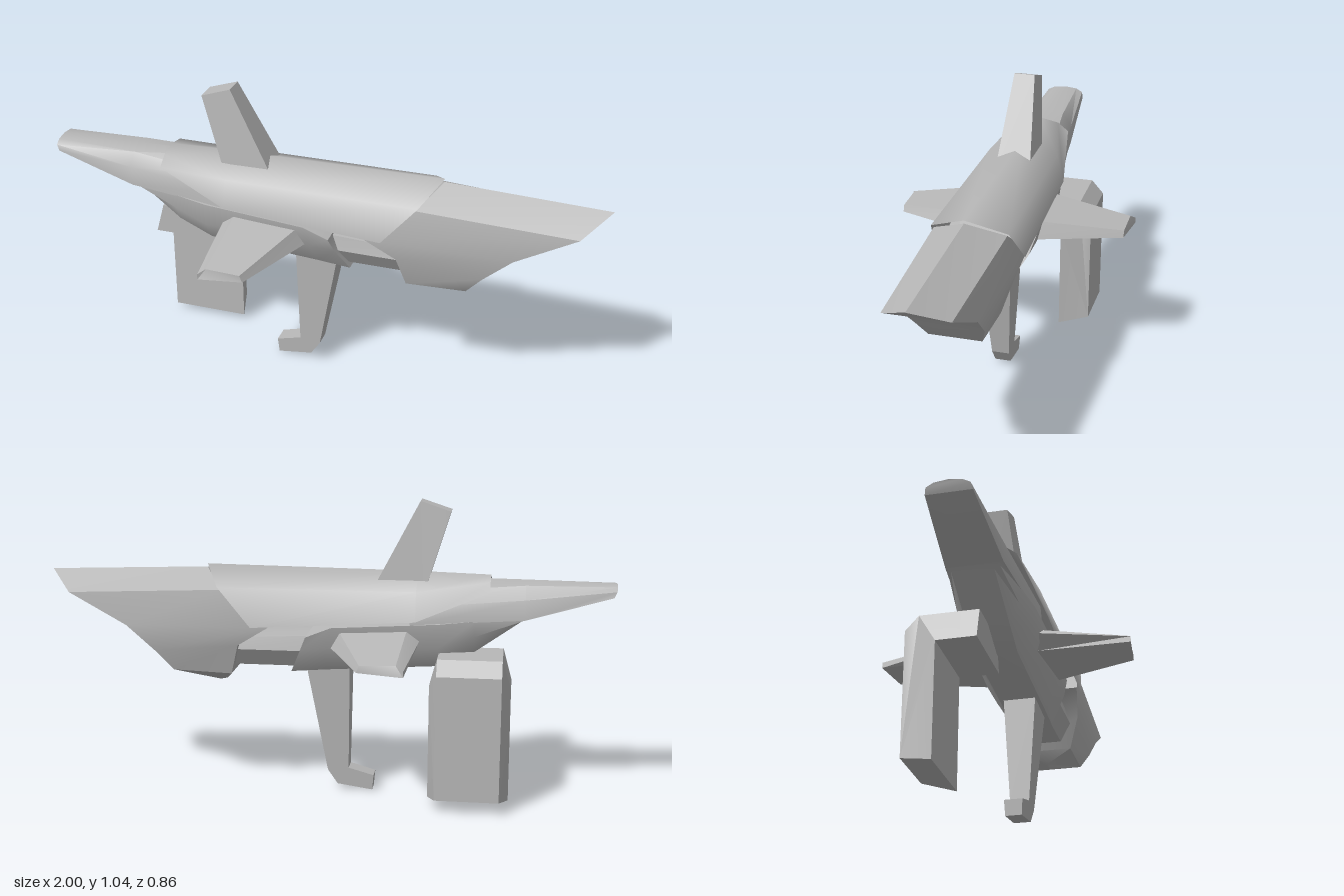
import * as THREE from 'three';
import { toCreasedNormals } from 'three/addons/utils/BufferGeometryUtils.js';

// Complete a half section (top centre first, z >= 0) with its mirror image
const mirrored = half => [
  ...half,
  ...half.filter(p => p[2] > 0).reverse().map(([x, y, z]) => [x, y, -z]),
];

// Skin between closed rings, with capped ends
function loft(rings, crease = 0.7) {
  const n = rings[0].length, last = rings.length - 1, pos = [];
  const tri = (a, b, c) => {
    const [A, B, C] = [a, b, c].map(p => new THREE.Vector3(...p));
    if (B.sub(A).cross(C.sub(A)).length() > 1e-8) pos.push(...a, ...b, ...c);
  };
  for (let i = 0; i < last; i++) for (let j = 0; j < n; j++) {
    const k = (j + 1) % n;
    tri(rings[i][j], rings[i][k], rings[i + 1][j]);
    tri(rings[i][k], rings[i + 1][k], rings[i + 1][j]);
  }
  for (let j = 0; j < n / 2; j++) {
    const q = r => [r[j], r[(j + 1) % n], r[(n - j - 1) % n], r[(n - j) % n]];
    if (j + 1 > n - j - 1) break;
    let [a, b, c, d] = q(rings[last]);
    tri(a, b, c); tri(a, c, d);
    [a, b, c, d] = q(rings[0]);
    tri(a, c, b); tri(a, d, c);
  }
  const g = new THREE.BufferGeometry();
  g.setAttribute('position', new THREE.Float32BufferAttribute(pos, 3));
  return toCreasedNormals(g, crease);
}

// Flat outline extruded to z = -0.5 .. 0.5, then reshaped by a vertex rule
function slab(points, rule, turn = 0) {
  const shape = new THREE.Shape(points.map(p => new THREE.Vector2(...p)));
  const g = new THREE.ExtrudeGeometry(shape, { depth: 1, bevelEnabled: false });
  g.translate(0, 0, -0.5).rotateY(turn);
  const p = g.attributes.position, v = new THREE.Vector3();
  for (let i = 0; i < p.count; i++) {
    rule(v.fromBufferAttribute(p, i));
    p.setXYZ(i, v.x, v.y, v.z);
  }
  return toCreasedNormals(g, 0.3);
}

export function createModel() {
  const group = new THREE.Group();
  const grey = new THREE.MeshStandardMaterial({ color: 0xb8b8b8 });
  grey.name = 'grey';
  const sheetGrey = grey;
  sheetGrey.side = THREE.DoubleSide;
  const add = (name, geometry) => {
    const m = new THREE.Mesh(geometry, grey);
    m.name = name;
    group.add(m);
  };

  // Nose: long upper sides, cut away below by a slanting hollow face
  add('nose', loft([
    [[0.43, 0.795, 0], [0.36, 0.735, 0.125], [0.19, 0.61, 0.15], [0.3, 0.54, 0.13], [0.33, 0.43, 0.095], [0.365, 0.39, 0]],
    [[1, 0.775, 0], [0.91, 0.71, 0.11], [0.7, 0.6, 0.125], [0.6, 0.51, 0.118], [0.54, 0.437, 0.092], [0.39, 0.385, 0]],
  ].map(mirrored), 0.75));

  // Tail
  add('tail', loft([
    [[-1, 0.768, 0], [-0.998, 0.764, 0.045], [-0.995, 0.752, 0.07], [-0.985, 0.732, 0.075]],
    [[-0.69, 0.776, 0], [-0.69, 0.765, 0.06], [-0.69, 0.72, 0.095], [-0.69, 0.65, 0.095]],
    [[-0.3, 0.78, 0], [-0.3, 0.74, 0.1], [-0.3, 0.69, 0.125], [-0.3, 0.63, 0.13]],
  ].map(mirrored)));

  // Thin arched shell over the middle of the body
  const arch = [
    [[-0.57, 0.79, 0], [-0.57, 0.776, 0.07], [-0.57, 0.745, 0.11]],
    [[-0.32, 0.797, 0], [-0.32, 0.745, 0.128], [-0.32, 0.645, 0.153]],
    [[0.43, 0.806, 0], [0.37, 0.745, 0.132], [0.25, 0.61, 0.157]],
  ].map(half => [...half.slice(1).reverse().map(([x, y, z]) => [x, y, -z]), ...half]);
  const shell = new THREE.BufferGeometry();
  const index = [];
  for (let i = 0; i < 2; i++) for (let j = 0; j < 4; j++) {
    const a = i * 5 + j;
    index.push(a, a + 1, a + 5, a + 1, a + 6, a + 5);
  }
  shell.setAttribute('position', new THREE.Float32BufferAttribute(arch.flat(2), 3));
  shell.setIndex(index);
  shell.computeVertexNormals();
  add('upperShell', shell);

  // Belly, ending in a slanted front, and the narrower core reaching the nose
  add('belly', loft([
    [[-0.69, 0.66, 0], [-0.69, 0.65, 0.09], [-0.68, 0.645, 0.08], [-0.67, 0.638, 0.06]],
    [[-0.52, 0.65, 0], [-0.52, 0.645, 0.11], [-0.52, 0.59, 0.105], [-0.52, 0.53, 0.07]],
    [[-0.4, 0.645, 0], [-0.4, 0.635, 0.13], [-0.4, 0.55, 0.12], [-0.4, 0.476, 0.07]],
    [[-0.03, 0.618, 0], [-0.03, 0.615, 0.145], [-0.01, 0.54, 0.13], [0, 0.45, 0.07]],
    [[0.06, 0.58, 0], [0.06, 0.578, 0.14], [0.08, 0.53, 0.125], [0.12, 0.44, 0.07]],
  ].map(mirrored)));
  add('core', loft([-0.05, 0.36].map(x => mirrored([
    [x, 0.58 - x * 0.04, 0], [x, 0.575 - x * 0.04, 0.09], [x, 0.52, 0.1], [x, 0.458, 0.06],
  ]))));

  // Wings
  const wingRings = [
    [0.11, [[-0.05, 0.602], [-0.29, 0.61], [-0.335, 0.575], [-0.29, 0.53], [-0.02, 0.542]]],
    [0.415, [[-0.16, 0.552], [-0.28, 0.556], [-0.305, 0.54], [-0.305, 0.52], [-0.15, 0.528]]],
  ];
  for (const side of [1, -1]) {
    const rings = wingRings.map(([z, pts]) => {
      const ring = pts.map(([x, y], j) => [x, y, side * (z > 0.4 && j > 1 && j < 4 ? 0.43 : z)]);
      return side > 0 ? ring : ring.reverse();
    });
    add(side > 0 ? 'leftWing' : 'rightWing', loft(rings, 0.4));
  }

  // Top fin, narrowing upward
  add('fin', slab(
    [[-0.34, 0.72], [-0.155, 0.72], [-0.325, 1.045], [-0.43, 1.01]],
    v => { v.z *= 0.13 - 0.055 * THREE.MathUtils.clamp((v.y - 0.77) / 0.26, 0, 1); }));

  // Hooked leg below the belly
  add('hookedLeg', slab(
    [[-0.086, 0.485], [-0.08, 0.08], [-0.17, 0.055], [-0.165, 0], [-0.04, 0.018], [-0.005, 0.07], [0.07, 0.47]],
    v => { v.z *= 0.056 + 0.13 * Math.max(0, v.y) * 0.95; }));

  // Bent side block, narrower on its outer faces
  add('sideBlock', slab(
    [[0, 0.42], [0.135, 0.42], [0.135, 0.02], [0.245, 0.045], [0.245, 0.48], [0.2, 0.53], [0, 0.53]],
    v => { v.x = -0.51 + v.x * (v.y > 0.5 || v.z < -0.2 ? 0.22 : 0.28); }, Math.PI / 2));

  return group;
}
